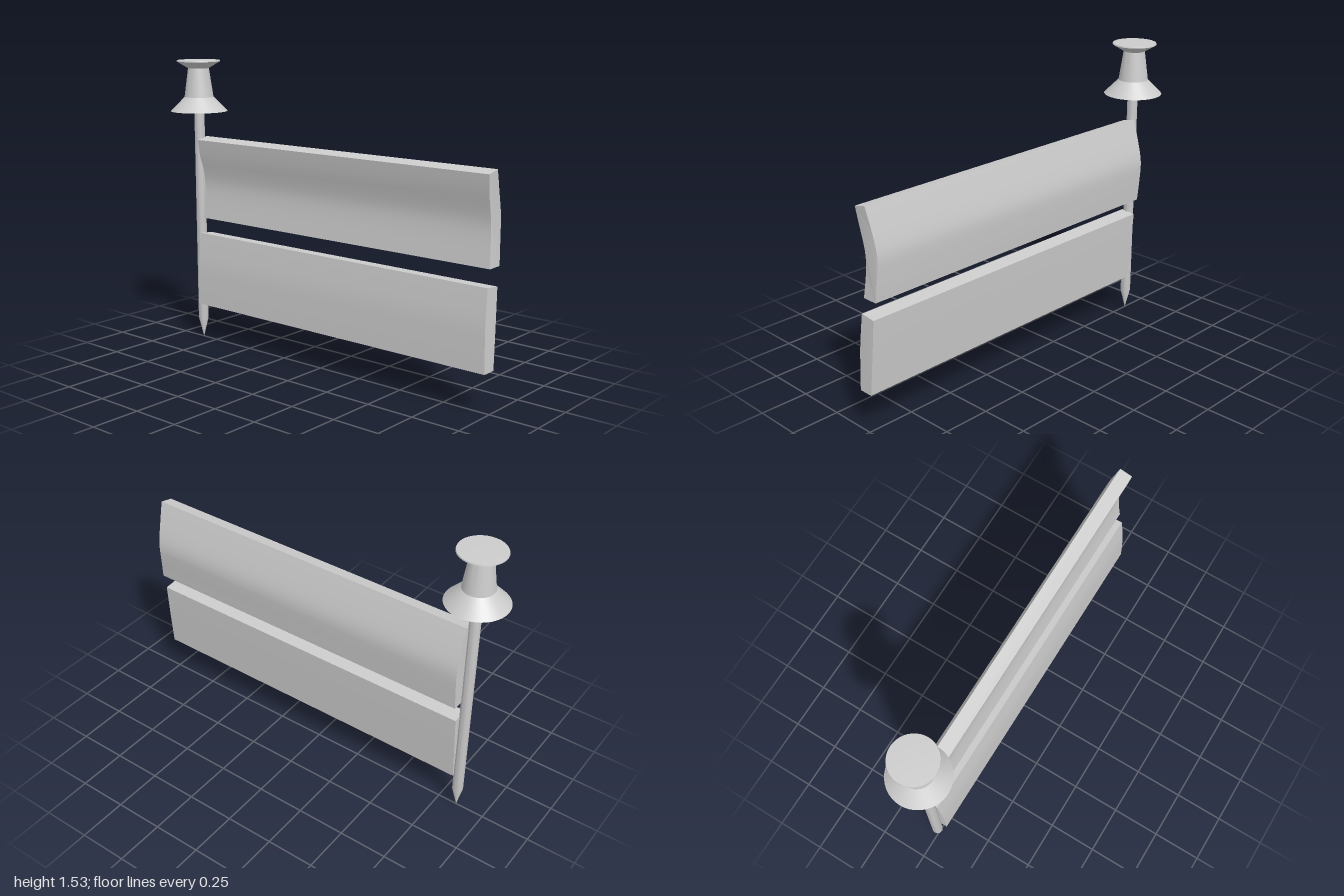
import * as THREE from 'three';
import { toCreasedNormals } from 'three/addons/utils/BufferGeometryUtils.js';

const PIN_X = -0.85;

export function createModel() {
  const model = new THREE.Group();
  const grey = new THREE.MeshStandardMaterial({ color: 0xcccccc });

  const add = (name, geometry) => {
    const mesh = new THREE.Mesh(toCreasedNormals(geometry, 0.4), grey);
    mesh.name = name;
    model.add(mesh);
    return mesh;
  };

  // Round parts of the pin: [radius, y] profiles from bottom to top
  const turned = (name, profile) => {
    const points = profile.map(([r, y]) => new THREE.Vector2(r, y));
    add(name, new THREE.LatheGeometry(points, 40)).position.x = PIN_X;
  };
  turned('pinNeedle', [[0, 0], [0.027, 0.11], [0.027, 1.27]]);
  turned('pinGrip', [[0, 1.255], [0.151, 1.255], [0.077, 1.33], [0.055, 1.485], [0, 1.485]]);
  turned('pinCap', [[0, 1.48], [0.055, 1.482], [0.115, 1.518], [0.113, 1.524], [0, 1.528]]);

  // Bent boards: curved front and back edges [z, y] listed top to bottom,
  // swept along x; endX(y) shapes the free end
  const board = (name, front, back, startX, endX) => {
    const curve = (edge) => new THREE.SplineCurve(
      edge.map(([z, y]) => new THREE.Vector2(-z, y))).getPoints(12);
    const outline = new THREE.Shape([...curve(front), ...curve(back).reverse()]);
    const geometry = new THREE.ExtrudeGeometry(outline, { depth: 1, bevelEnabled: false });
    geometry.rotateY(Math.PI / 2);
    const p = geometry.attributes.position;
    for (let i = 0; i < p.count; i++) {
      p.setX(i, p.getX(i) > 0.5 ? endX(p.getY(i)) : startX);
    }
    add(name, geometry);
  };

  board('upperBoard',
    [[0.036, 1.103], [0.022, 1.02], [0.003, 0.94], [-0.008, 0.87], [-0.005, 0.79], [0.008, 0.676]],
    [[-0.032, 1.118], [-0.073, 0.976], [-0.089, 0.89], [-0.085, 0.8], [-0.073, 0.676]],
    -0.83, (y) => 0.975 + 0.01 * Math.min(1, ((y - 0.89) / 0.21) ** 2));

  board('lowerBoard',
    [[0.026, 0.594], [0.044, 0.44], [0.049, 0.32], [0.051, 0.202]],
    [[-0.055, 0.586], [-0.041, 0.4], [-0.024, 0.202]],
    -0.83, (y) => 1 - 0.012 * (y - 0.2) / 0.39);

  return model;
}
